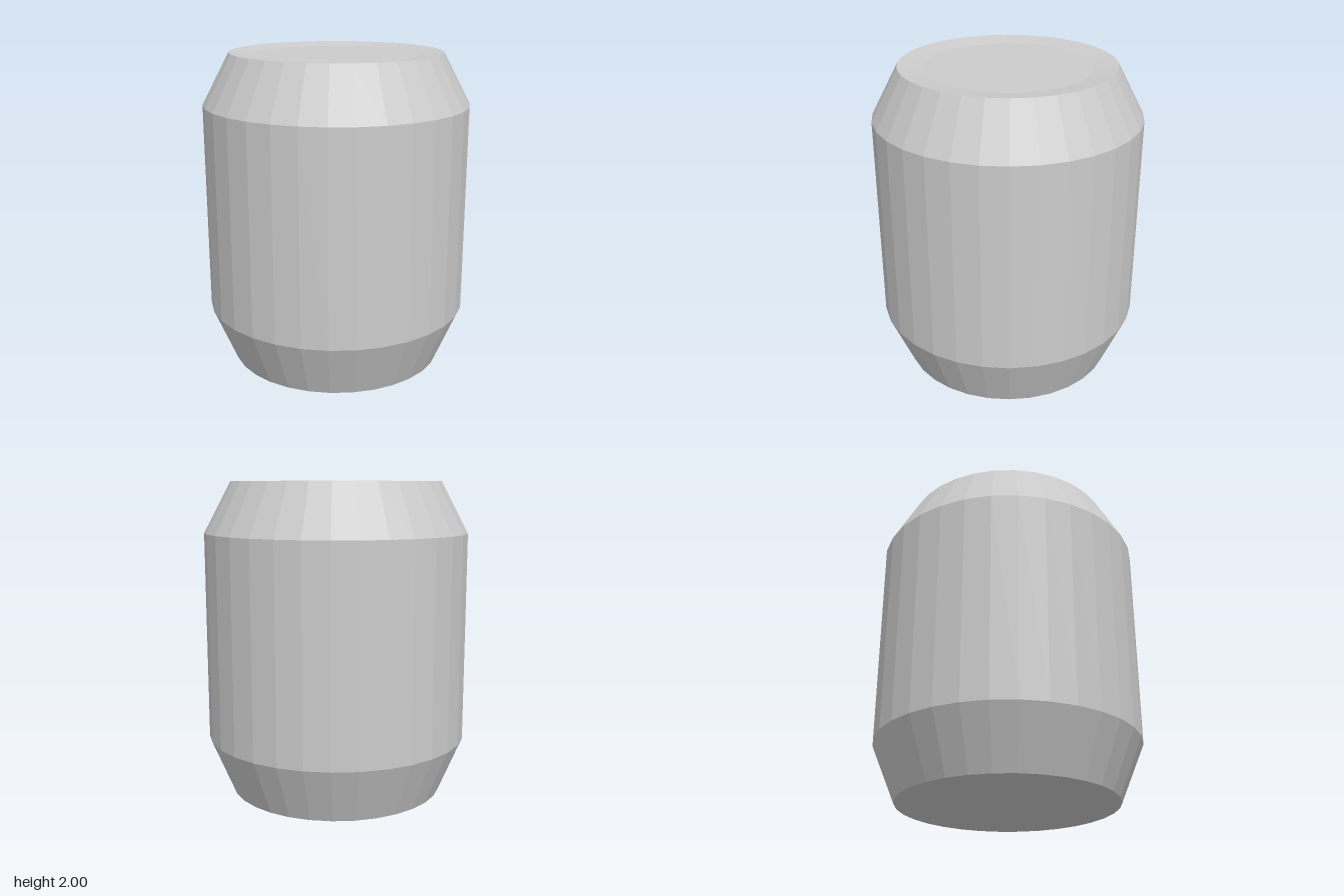
import * as THREE from 'three';

const SIDES = 32;

export function createModel() {
  const model = new THREE.Group();
  model.name = 'barrel';
  const grey = new THREE.MeshStandardMaterial({ color: 0xcccccc, flatShading: true });
  grey.name = 'plain grey';

  // Each part is a faceted ring (or disc) turned from a profile of [radius, height]
  const turn = (name, profile) => {
    const points = profile.map(([r, y]) => new THREE.Vector2(r, y));
    const mesh = new THREE.Mesh(new THREE.LatheGeometry(points, SIDES), grey);
    mesh.name = name;
    model.add(mesh);
  };

  // Closed base, tapered foot, straight wall and tapered shoulder
  turn('body', [[0, 0], [0.69, 0], [0.84, 0.36], [0.84, 1.68], [0.67, 2]]);
  // Lid with a shallow dish: sloping rim around a flat, slightly sunken centre
  turn('lid', [[0.67, 2], [0.52, 1.98], [0, 1.98]]);

  return model;
}
